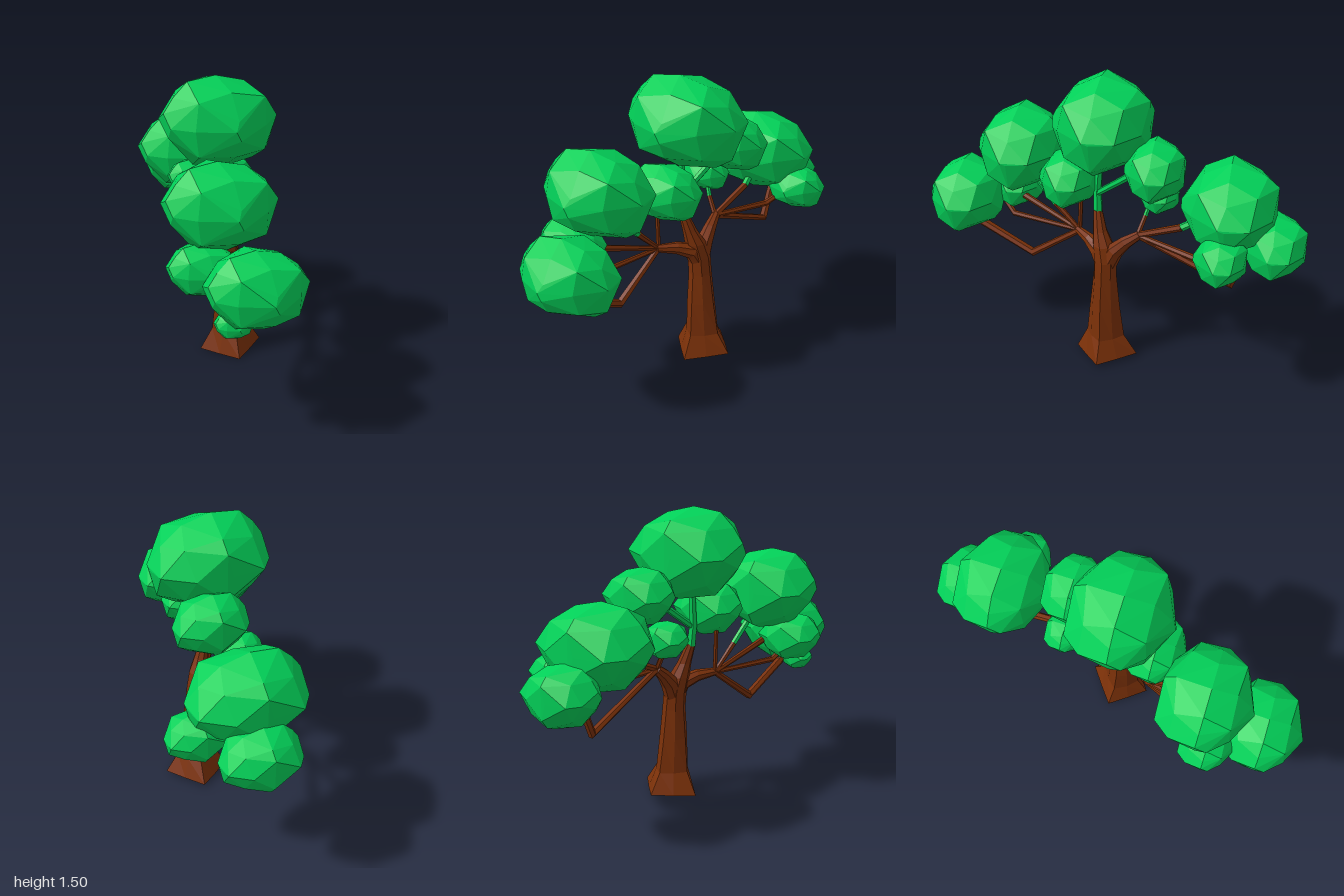
import * as THREE from 'three';
import { ConvexGeometry } from 'three/addons/geometries/ConvexGeometry.js';

const bark = new THREE.MeshStandardMaterial({ color: 0x7a3008, flatShading: true });
const leaf = new THREE.MeshStandardMaterial({ color: 0x02d058, flatShading: true });

// Skin a list of equally long point rings and close both ends
function skin(rings) {
  const n = rings[0].length, pos = [], idx = [];
  rings.forEach(r => r.forEach(p => pos.push(p.x, p.y, p.z)));
  for (let i = 0; i < rings.length - 1; i++) {
    for (let j = 0; j < n; j++) {
      const a = i * n + j, b = i * n + (j + 1) % n;
      idx.push(a, b, a + n, b, b + n, a + n);
    }
  }
  const last = (rings.length - 1) * n;
  for (let j = 1; j < n - 1; j++) idx.push(0, j + 1, j, last, last + j, last + j + 1);
  const g = new THREE.BufferGeometry();
  g.setAttribute('position', new THREE.Float32BufferAttribute(pos, 3));
  g.setIndex(idx);
  g.computeVertexNormals();
  return g;
}

// Tapered limb through knots [x, y, z, radius]
function limb(knots, sides = 6) {
  const pts = knots.map(k => new THREE.Vector3(k[0], k[1], k[2]));
  let u = null;
  return skin(pts.map((p, i) => {
    const t = new THREE.Vector3();
    if (i > 0) t.add(p.clone().sub(pts[i - 1]).normalize());
    if (i < pts.length - 1) t.add(pts[i + 1].clone().sub(p).normalize());
    t.normalize();
    if (!u) u = Math.abs(t.x) < 0.8 ? new THREE.Vector3(1, 0, 0) : new THREE.Vector3(0, 0, 1);
    u = u.clone().addScaledVector(t, -u.dot(t)).normalize();
    const v = t.clone().cross(u);
    return Array.from({ length: sides }, (_, j) => {
      const a = j / sides * Math.PI * 2, r = knots[i][3];
      return p.clone().addScaledVector(u, Math.cos(a) * r).addScaledVector(v, Math.sin(a) * r);
    });
  }));
}

// Coarse faceted clump: hull of three outlines and one point per octant
function clumpGeometry() {
  const frontXY = [[-1, 0.28], [-0.92, -0.28], [-0.5, -0.94], [0.6, -0.96], [0.89, -0.72], [1, -0.05],
    [0.8, 0.45], [0.43, 0.83], [-0.08, 1], [-0.58, 0.92], [-0.83, 0.6]];
  const sideZY = [[-0.75, 0.78], [-1, 0.54], [-1, -0.54], [-0.78, -0.85], [-0.42, -1],
    [0.22, -0.98], [0.8, -0.6], [1, -0.2], [0.9, 0.2], [0.55, 0.73]];
  const topXZ = [[-0.66, -0.97], [-0.1, -1], [0.5, -0.92], [0.97, -0.5], [1, 0.14], [0.55, 0.73],
    [-0.08, 1], [-0.66, 0.64], [-0.96, 0.25], [-0.9, -0.6]];
  const pts = [
    ...frontXY.map(([x, y]) => new THREE.Vector3(x, y, 0)),
    ...sideZY.map(([z, y]) => new THREE.Vector3(0, y, z)),
    ...topXZ.map(([x, z]) => new THREE.Vector3(x, 0, z)),
  ];
  for (const x of [-0.59, 0.59]) for (const y of [-0.59, 0.59]) for (const z of [-0.59, 0.59]) {
    pts.push(new THREE.Vector3(x, y, z));
  }
  return new ConvexGeometry(pts);
}

export function createModel() {
  const tree = new THREE.Group();
  tree.name = 'tree';
  const add = (name, geometry, material) => {
    const m = new THREE.Mesh(geometry, material);
    m.name = name;
    tree.add(m);
    return m;
  };

  // Trunk: square flared foot turning into an eight-sided column
  // [y, centre x, centre z, radius, edge-midpoint factor, tilt]
  const trunk = [
    [0.01, 0.085, -0.022, 0.166, 0.72, 0.01],
    [0.12, 0.083, -0.015, 0.102, 0.82, 0],
    [0.30, 0.077, -0.010, 0.080, 0.9, 0],
    [0.46, 0.072, -0.010, 0.063, 0.95, 0],
    [0.55, 0.065, -0.010, 0.060, 1, 0],
    [0.63, 0.050, 0.005, 0.054, 1, 0],
    [0.70, 0.030, 0.025, 0.037, 1, 0],
    [0.80, 0.000, 0.042, 0.024, 1, 0],
  ];
  add('trunk', skin(trunk.map(([y, cx, cz, r, mid, tilt]) =>
    Array.from({ length: 8 }, (_, j) => {
      const a = -j / 8 * Math.PI * 2 + 0.14, k = j % 2 ? r * mid : r;
      const x = Math.cos(a) * k, z = Math.sin(a) * k;
      return new THREE.Vector3(cx + x, y + tilt * (x - z) / r / 1.15, cz + z);
    }))), bark);

  // Two main limbs leaving the trunk
  add('frontLimb', limb([[0.066, 0.52, -0.005, 0.05], [0.045, 0.59, 0.03, 0.045],
    [-0.01, 0.618, 0.09, 0.032], [-0.08, 0.63, 0.165, 0.02]], 8), bark);
  add('backLimb', limb([[0.068, 0.53, -0.02, 0.05], [0.07, 0.61, -0.06, 0.045],
    [0.072, 0.665, -0.115, 0.034], [0.07, 0.715, -0.185, 0.023]], 8), bark);

  // Branches fanning out from the two hubs
  const f = [-0.078, 0.628, 0.155], b = [0.07, 0.712, -0.175];
  const branches = {
    lowFrontBranch: [[...f, 0.016], [-0.14, 0.43, 0.43, 0.023], [-0.19, 0.56, 0.72, 0.023], [-0.19, 0.68, 0.78, 0.017]],
    levelFrontBranch: [[...f, 0.012], [-0.22, 0.615, 0.55, 0.016], [-0.28, 0.70, 0.64, 0.015]],
    middleFrontBranch: [[...f, 0.012], [-0.2, 0.745, 0.49, 0.018], [-0.28, 0.78, 0.54, 0.016]],
    highFrontBranch: [[...f, 0.012], [-0.115, 0.755, 0.29, 0.016]],
    uprightFrontBranch: [[...f, 0.012], [-0.09, 0.88, 0.145, 0.012]],
    uprightBackBranch: [[...b, 0.014], [0.02, 0.80, -0.205, 0.013]],
    highBackBranch: [[...b, 0.017], [0.13, 0.81, -0.40, 0.019]],
    sideBackBranch: [[...b, 0.013], [0.21, 0.685, -0.50, 0.017], [0.29, 0.75, -0.58, 0.014]],
    lowBackBranch: [[...b, 0.017], [0.13, 0.52, -0.655, 0.024], [0.145, 0.73, -0.735, 0.018]],
  };
  for (const [name, knots] of Object.entries(branches)) add(name, limb(knots), bark);

  // Green shoots joining the wood to the foliage
  const shoots = [
    [[0, 0.79, 0.041, 0.025], [-0.01, 0.9, 0.045, 0.022], [-0.01, 1.12, 0.03, 0.017]],
    [[-0.005, 0.89, 0.043, 0.017], [0.09, 1.06, -0.16, 0.019]],
    [[-0.115, 0.755, 0.29, 0.017], [-0.16, 0.9, 0.42, 0.017]],
    [[0.02, 0.80, -0.205, 0.013], [-0.01, 0.88, -0.23, 0.013]],
    [[0.13, 0.81, -0.40, 0.02], [0.13, 0.87, -0.50, 0.02]],
  ];
  shoots.forEach((k, i) => add('shoot' + (i + 1), limb(k), leaf));

  // Foliage clumps: centre, then half-sizes
  const clumps = [
    [0.0, 1.28, 0.027, 0.293, 0.222, 0.243],
    [-0.207, 1.035, 0.5, 0.268, 0.205, 0.224],
    [-0.172, 0.75, 0.803, 0.238, 0.18, 0.196],
    [-0.323, 0.77, 0.555, 0.165, 0.123, 0.136],
    [-0.27, 0.585, 0.77, 0.09, 0.066, 0.074],
    [-0.018, 0.965, 0.2, 0.182, 0.137, 0.147],
    [0.11, 1.1, -0.255, 0.182, 0.14, 0.146],
    [-0.035, 0.905, -0.262, 0.12, 0.09, 0.1],
    [0.105, 0.945, -0.62, 0.28, 0.205, 0.23],
    [0.333, 0.775, -0.605, 0.152, 0.115, 0.125],
    [0.14, 0.77, -0.845, 0.19, 0.143, 0.155],
  ];
  const clump = clumpGeometry();
  clumps.forEach(([x, y, z, rx, ry, rz], i) => {
    const m = add('foliage' + (i + 1), clump, leaf);
    m.position.set(x, y, z);
    m.scale.set(rx, ry, rz);
  });
  return tree;
}
